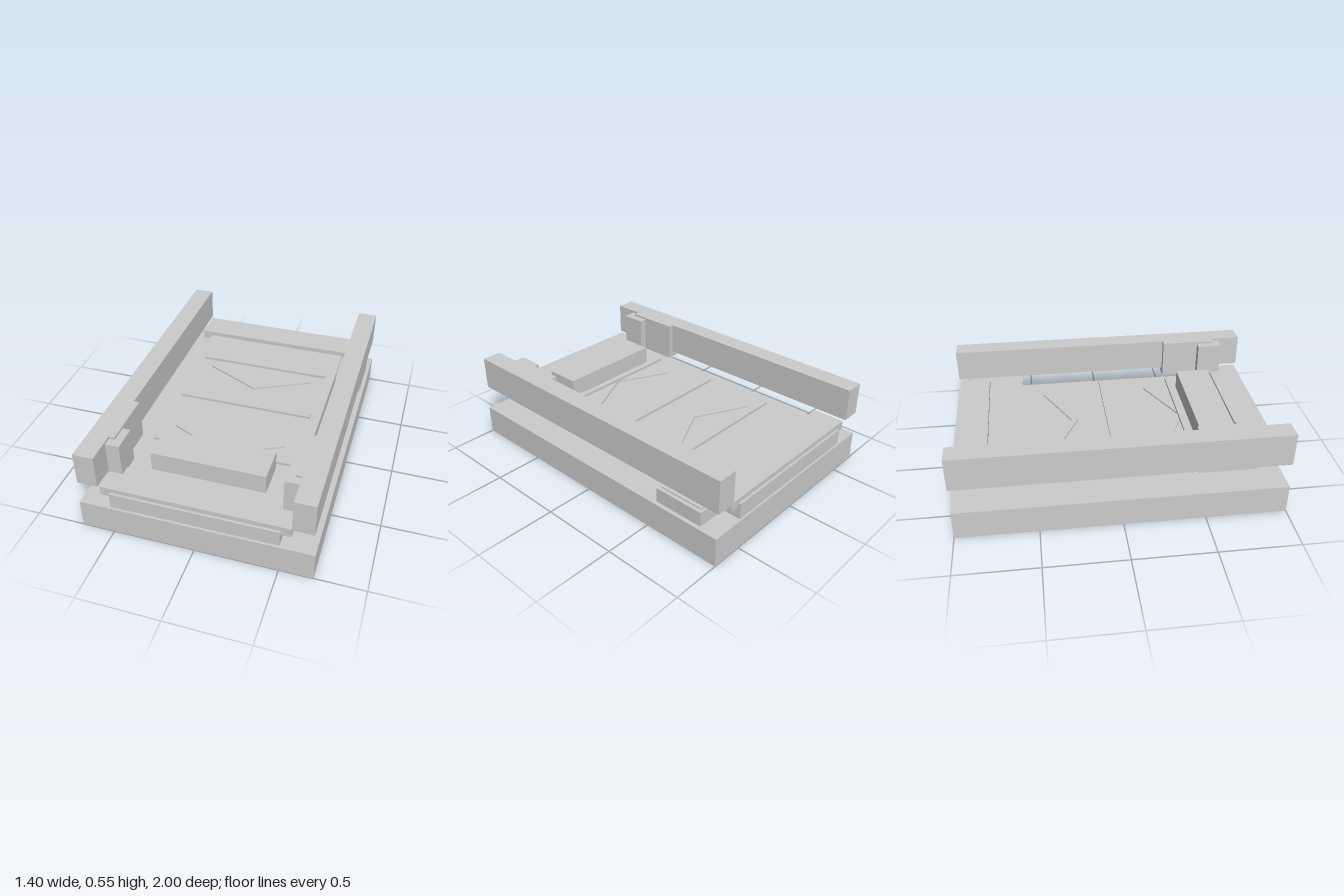
import * as THREE from 'three';

const material = new THREE.MeshStandardMaterial({ color: 0xcccccc, flatShading: true });

export function createModel() {
  const model = new THREE.Group();

  function add(name, geometry) {
    const mesh = new THREE.Mesh(geometry, material);
    mesh.name = name;
    model.add(mesh);
    return mesh;
  }

  // Box given by its limits on each axis
  function box(name, [x0, x1], [y0, y1], [z0, z1]) {
    const mesh = add(name, new THREE.BoxGeometry(x1 - x0, y1 - y0, z1 - z0));
    mesh.position.set((x0 + x1) / 2, (y0 + y1) / 2, (z0 + z1) / 2);
    return mesh;
  }

  // Base slab and the bed above it
  box('base', [-0.7, 0.7], [0, 0.185], [-1, 1]);
  box('bed', [-0.5, 0.5], [0.202, 0.302], [-1, 1]);

  // End crossbars and the feet that carry the bed
  for (const [end, s] of [['front', 1], ['back', -1]]) {
    const span = (a, b) => (s > 0 ? [a, b] : [-b, -a]);
    box(end + 'Crossbar', [-0.56, 0.56], [0.272, 0.332], span(0.787, 0.985));
    box(end + 'Foot', [-0.475, 0.475], [0.185, 0.202], span(0.865, 0.98));
  }

  // Rollers half sunk in the base
  for (const z of [0.13, -0.3]) {
    const roller = add('roller', new THREE.CylinderGeometry(0.025, 0.025, 0.98, 16));
    roller.rotation.z = Math.PI / 2;
    roller.position.set(0, 0.17, z);
  }

  // Side rails, each with a thickened part and a clamp block near the front
  for (const [side, s] of [['left', 1], ['right', -1]]) {
    const span = (a, b) => (s > 0 ? [a, b] : [-b, -a]);
    box(side + 'Rail', span(0.563, 0.688), [0.343, 0.552], [-1, 1]);
    box(side + 'RailPad', span(0.527, 0.648), [0.302, 0.552], [0.45, 0.8]);
    box(side + 'Clamp', span(0.478, 0.575), [0.317, 0.537], [0.692, 0.852]);
  }

  // Cross strips on the bed
  for (const z of [-0.475, -0.005, 0.468]) {
    box('crossStrip', [-0.438, 0.438], [0.312, 0.329], [z - 0.019, z + 0.019]);
  }

  // V-shaped strips: drawn in x and z, pointing to the front
  const v = new THREE.Shape([
    [-0.36, -0.385], [0, -0.208], [0.36, -0.385],
    [0.342, -0.42], [0, -0.25], [-0.342, -0.42],
  ].map(([x, z]) => new THREE.Vector2(x, z)));
  const vGeometry = new THREE.ExtrudeGeometry(v, { depth: 0.012, bevelEnabled: false });
  vGeometry.rotateX(Math.PI / 2);
  for (const z of [0, 0.7]) {
    add('chevron', vGeometry).position.set(0, 0.312, z);
  }

  // Raised panel near the front
  box('raisedPanel', [-0.348, 0.348], [0.3, 0.426], [0.512, 0.732]);

  // Box with a thin lid at the left rear
  box('sideBox', [0.44, 0.675], [0.185, 0.276], [-0.872, -0.553]);
  box('sideBoxLid', [0.465, 0.652], [0.276, 0.284], [-0.855, -0.57]);

  return model;
}
